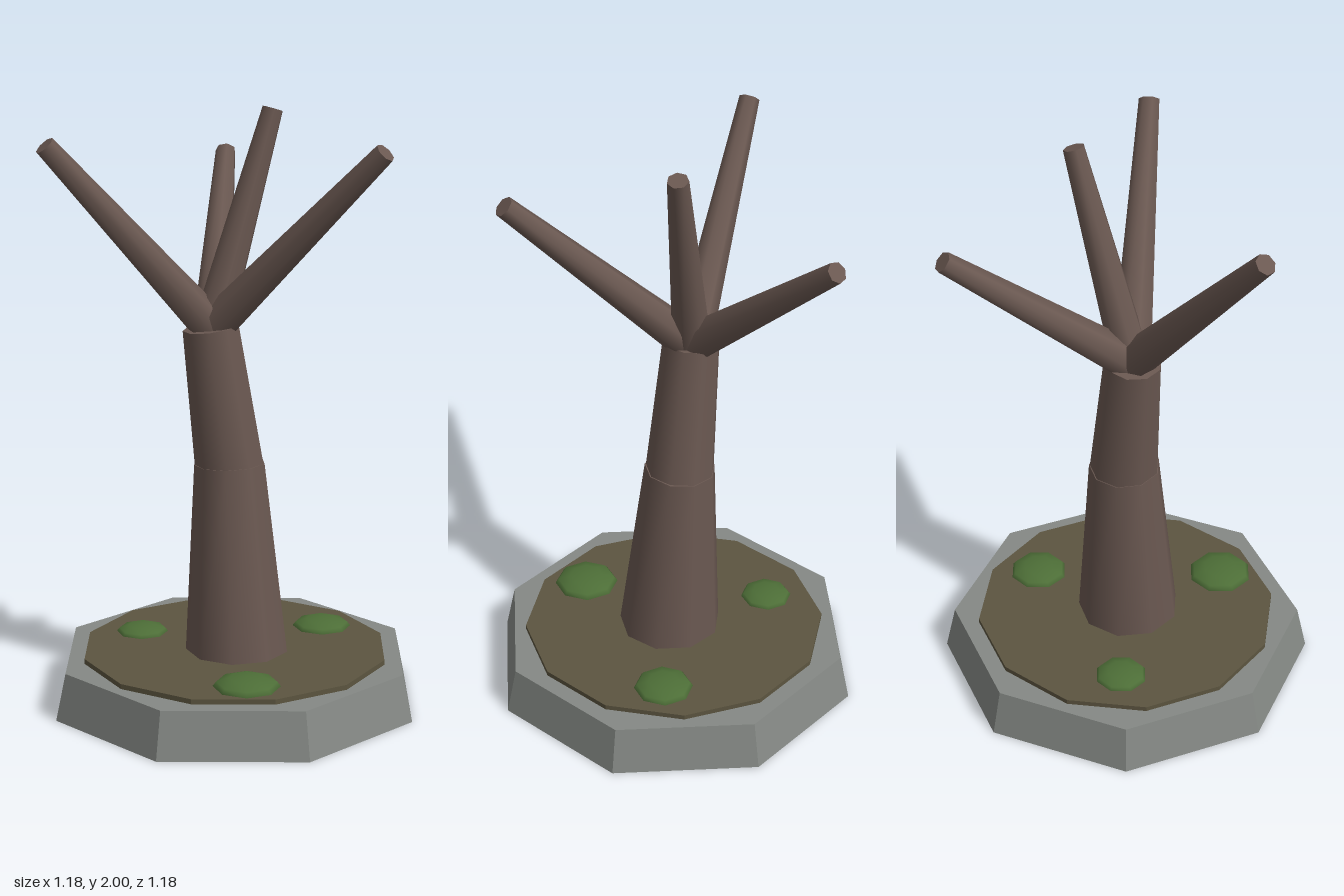
import * as THREE from 'three';

const paint = (name, color, flatShading = false) => {
  const m = new THREE.MeshStandardMaterial({ color, flatShading });
  m.name = name;
  return m;
};

export function createModel() {
  const stone = paint('stone', 0x858985, true);
  const soil = paint('soil', 0x5c5540, true);
  const bark = paint('bark', 0x6a5851);
  const moss = paint('moss', 0x4d6e37);
  const model = new THREE.Group();
  model.name = 'plantedBareTree';

  const add = (name, geometry, material, x = 0, y = 0, z = 0) => {
    const mesh = new THREE.Mesh(geometry, material);
    mesh.name = name;
    mesh.position.set(x, y, z);
    model.add(mesh);
    return mesh;
  };

  // Tapered limb running from one point to another
  const limb = (name, from, to, r0, r1, sides) => {
    const a = new THREE.Vector3(...from), b = new THREE.Vector3(...to);
    const dir = b.clone().sub(a);
    const mid = a.clone().add(b).multiplyScalar(0.5);
    const mesh = add(name, new THREE.CylinderGeometry(r1, r0, dir.length(), sides), bark, mid.x, mid.y, mid.z);
    mesh.quaternion.setFromUnitVectors(new THREE.Vector3(0, 1, 0), dir.normalize());
  };

  // Octagonal stone planter and the soil disc on it
  const planter = new THREE.CylinderGeometry(0.605, 0.64, 0.16, 8).rotateY(Math.PI / 8);
  add('planter', planter, stone, 0, 0.08, 0);
  add('soilBed', new THREE.CylinderGeometry(0.52, 0.52, 0.025, 12), soil, 0, 0.1645, 0);

  // Trunk in two leaning sections
  limb('lowerTrunk', [0.015, 0.16, 0.003], [-0.02, 0.82, 0.003], 0.176, 0.12, 9);
  limb('upperTrunk', [-0.02, 0.81, 0.003], [-0.06, 1.285, 0.05], 0.117, 0.095, 9);

  // Bare branches fanning out from the trunk top
  const fork = [-0.06, 1.28, 0.045];
  const tips = {
    backBranch: [0, 1.99, -0.175],
    leftBranch: [0.53, 1.9, -0.137],
    frontBranch: [-0.285, 1.91, 0.56],
    rightBranch: [-0.463, 1.787, -0.41],
  };
  for (const [name, tip] of Object.entries(tips)) limb(name, fork, tip, 0.066, 0.035, 7);

  // Flattened moss clumps: x, z, radius
  for (const [x, z, r] of [[0.06, -0.365, 0.104], [-0.335, 0.12, 0.092], [0.3, 0.24, 0.115]]) {
    add('mossClump', new THREE.SphereGeometry(r, 8, 6).scale(1, 0.35, 1), moss, x, 0.172, z);
  }
  return model;
}
